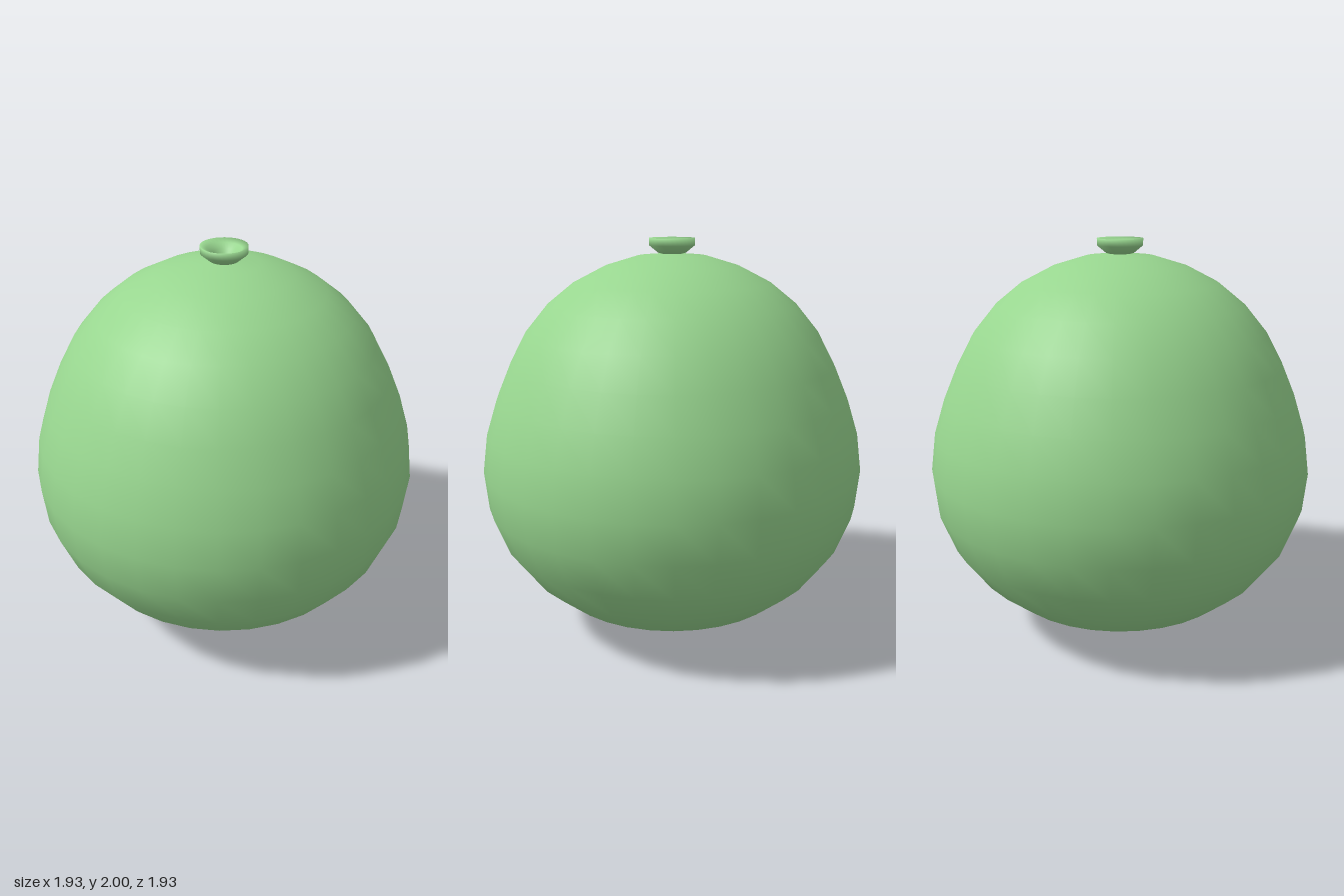
import * as THREE from 'three';

// Revolves [radius, height] pairs, listed from bottom to top on the outside
function turned(name, profile, material) {
  const points = profile.map(([r, y]) => new THREE.Vector2(r, y));
  const mesh = new THREE.Mesh(new THREE.LatheGeometry(points, 32), material);
  mesh.name = name;
  return mesh;
}

export function createModel() {
  const group = new THREE.Group();
  group.name = 'balloon';
  const rubber = new THREE.MeshStandardMaterial({ color: 0x98d68f, side: THREE.DoubleSide });

  // Round body, widest below the middle and tapering towards the neck
  group.add(turned('body', [
    [0, 0.005], [0.2, 0.03], [0.4, 0.09], [0.585, 0.18], [0.745, 0.31], [0.87, 0.475],
    [0.945, 0.665], [0.965, 0.86], [0.94, 1.05], [0.885, 1.225], [0.815, 1.39],
    [0.735, 1.54], [0.62, 1.68], [0.49, 1.785], [0.335, 1.865], [0.17, 1.915], [0, 1.93],
  ], rubber));

  // Flared lip with a hollow mouth that narrows to a small hole
  group.add(turned('lip', [
    [0.035, 1.92], [0.07, 1.93], [0.113, 1.965], [0.114, 2],
    [0.085, 1.985], [0.055, 1.965], [0.035, 1.93],
  ], rubber));

  return group;
}
